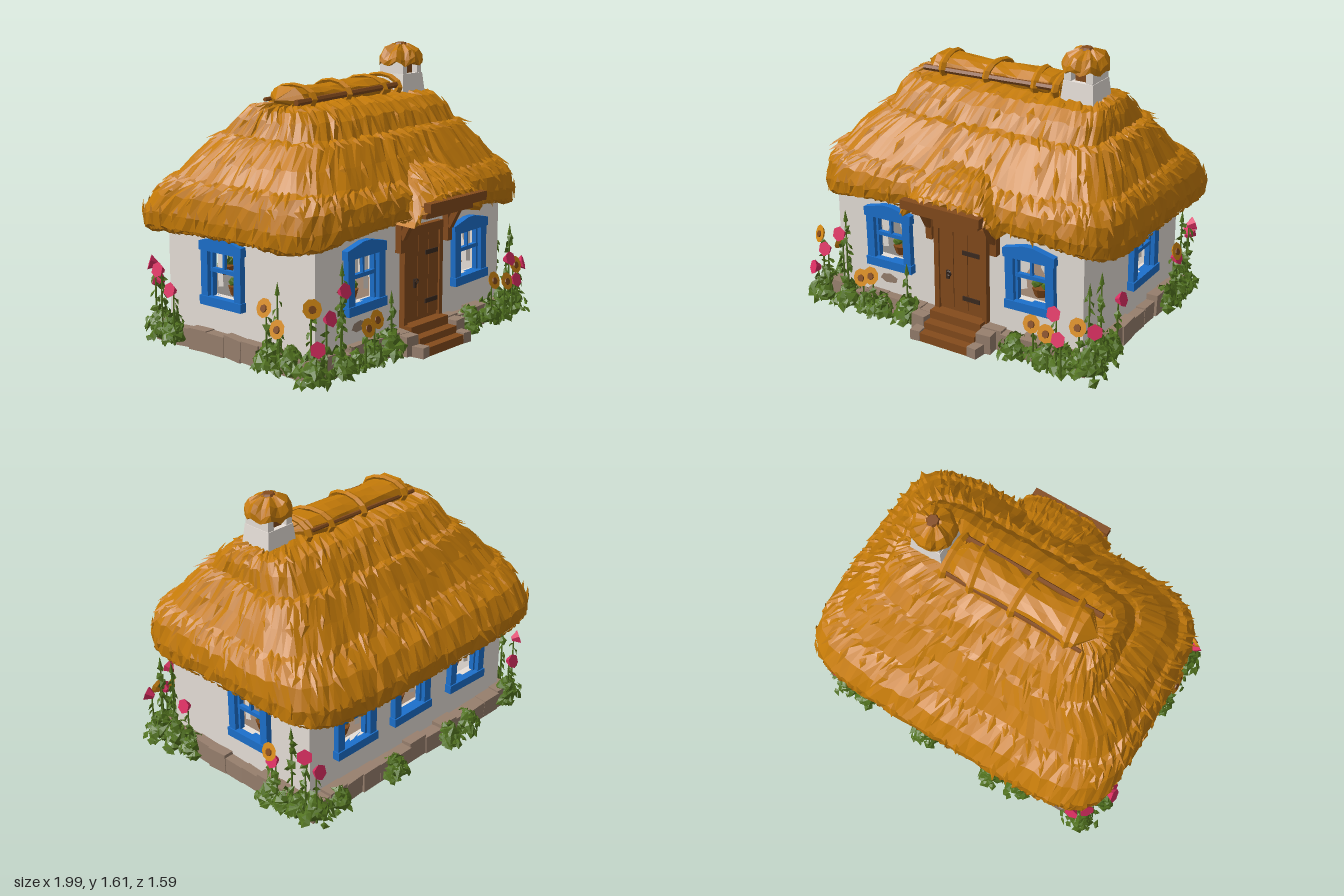
import * as THREE from 'three';
import { mergeGeometries } from 'three/addons/utils/BufferGeometryUtils.js';

const mat = (name, color, extra = {}) => {
  const m = new THREE.MeshStandardMaterial({ color, flatShading: true, ...extra });
  m.name = name;
  return m;
};
let seed = 7;
const rnd = (a = 0, b = 1) => {
  seed = (seed * 16807) % 2147483647;
  return a + (b - a) * (seed / 2147483647);
};
const V = (x, y, z) => new THREE.Vector3(x, y, z);

export function createModel() {
  seed = 7;
  const two = { side: THREE.DoubleSide };
  const thatch = mat('thatch', 0xc47a08, two), plaster = mat('plaster', 0xe8e1da, two);
  const blue = mat('bluePaint', 0x1c70cc), wood = mat('wood', 0x844b1c), dark = mat('darkIron', 0x3b2a20);
  const stone = mat('stone', 0x98806e);
  const green = mat('leaf', 0x52731f, two), pink = mat('pinkPetal', 0xdc2e62, two), yellow = mat('yellowPetal', 0xd68a14);

  const house = new THREE.Group();
  house.name = 'cottage';
  const add = (name, geo, m, parent = house) => {
    const mesh = new THREE.Mesh(geo, m);
    mesh.name = name;
    parent.add(mesh);
    return mesh;
  };
  const box = (name, m, w, h, d, x, y, z, parent = house) => {
    const b = add(name, new THREE.BoxGeometry(w, h, d), m, parent);
    b.position.set(x, y, z);
    return b;
  };
  const fromPoints = (pts, index) => {
    const g = new THREE.BufferGeometry();
    g.setAttribute('position', new THREE.Float32BufferAttribute(pts.flatMap(p => [p.x, p.y, p.z]), 3));
    g.setIndex(index);
    g.computeVertexNormals();
    return g;
  };
  // Surface from P(u, v) with straw-like jitter; wraps around u when closed
  const surface = (P, nu, nv, closed, jit) => {
    const pts = [], idx = [], cols = closed ? nu : nu + 1;
    for (let j = 0; j <= nv; j++) for (let i = 0; i < cols; i++)
      pts.push(P(i / nu, j / nv).add(V(rnd(-jit, jit), rnd(-jit, jit) * 1.3, rnd(-jit, jit))));
    for (let j = 0; j < nv; j++) for (let i = 0; i < nu; i++) {
      const a = j * cols + i, b = j * cols + (i + 1) % cols;
      idx.push(a, b, b + cols, a, b + cols, a + cols);
    }
    return fromPoints(pts, idx);
  };
  // Flat straw tufts pointing down the slope, in rows [v, count, length]
  const tufts = (P, rows) => {
    const pts = [], idx = [];
    for (const [v0, count, size] of rows) for (let k = 0; k < count; k++) {
      const u = (k + rnd(0.1, 0.9)) / count, v = v0 + rnd(-0.015, 0.015);
      const p = P(u, v), d = P(u, v - 0.01).sub(p).normalize(), t = P(u + 0.004, v).sub(p).normalize();
      const n = t.clone().cross(d).negate().normalize();
      const len = size * rnd(0.6, 1.3), w = rnd(0.015, 0.035), s = pts.length;
      const at = (a, b, c) => p.clone().addScaledVector(t, a).addScaledVector(d, b).addScaledVector(n, c);
      pts.push(at(-w, 0, 0), at(rnd(-w, w), len, 0.004), at(w, 0, 0), at(0, -len * 0.7, 0), at(0, 0, 0.012));
      for (let q = 0; q < 4; q++) idx.push(s + q, s + (q + 1) % 4, s + 4);
    }
    return fromPoints(pts, idx);
  };

  // Thatched roof: stacked rounded rectangles [y, left, right, front, back]
  const rings = [
    [0.70, -0.78, 0.80, 0.52, -0.55], [0.635, -0.92, 0.95, 0.61, -0.74], [0.665, -0.95, 0.98, 0.65, -0.775],
    [0.75, -0.955, 0.985, 0.655, -0.775], [0.86, -0.935, 0.965, 0.635, -0.70], [0.94, -0.905, 0.92, 0.59, -0.60],
    [0.965, -0.87, 0.89, 0.56, -0.565], [1.06, -0.80, 0.83, 0.48, -0.485], [1.17, -0.68, 0.76, 0.385, -0.40],
    [1.185, -0.65, 0.72, 0.345, -0.365], [1.27, -0.61, 0.70, 0.285, -0.29], [1.325, -0.58, 0.67, 0.21, -0.23],
    [1.345, -0.54, 0.62, 0.12, -0.14], [1.355, -0.42, 0.50, 0.01, -0.01]];
  const last = rings.length - 1;
  const roofP = (u, v) => {
    const f = THREE.MathUtils.clamp(v * last, 0, last - 1e-6), r = Math.floor(f);
    const [y, xl, xr, zf, zb] = rings[r].map((a, k) => a + (rings[r + 1][k] - a) * (f - r));
    u = ((u % 1) + 1) % 1;
    let px, pz;
    if (u < 0.29) { px = u / 0.145 - 1; pz = 1; }
    else if (u < 0.5) { px = 1; pz = 1 - (u - 0.29) / 0.105; }
    else if (u < 0.79) { px = 1 - (u - 0.5) / 0.145; pz = -1; }
    else { px = -1; pz = (u - 0.79) / 0.105 - 1; }
    const s = (px ** 6 + pz ** 6) ** (-1 / 6);
    px *= s; pz *= s;
    const low = Math.max(0, (0.95 - y) / 0.3);
    const lift = (0.11 * Math.max(pz, 0) * (1 - px ** 4) + 0.04 * px * px * (1 - pz * pz)) * low;
    const taper = Math.max(pz, 0) * Math.max(-px, 0) * 0.03;
    return V((xl + xr) / 2 + px * (xr - xl) / 2 + taper, y + lift, (zf + zb) / 2 + pz * (zf - zb) / 2);
  };
  add('thatchedRoof', surface(roofP, 130, last, true, 0.008), thatch);
  add('roofStraw', tufts(roofP, [[1.7 / last, 150, 0.03], [3 / last, 70, 0.07], [4.3 / last, 40, 0.08], [5.4 / last, 90, 0.08],
    [7 / last, 30, 0.08], [8.4 / last, 60, 0.08], [10 / last, 16, 0.07], [11.2 / last, 22, 0.05]]), thatch);

  // Thatch hood over the door
  const hood = [[0.855, 0.5, 0.28], [0.86, 0.73, 0.3], [0.885, 0.745, 0.3], [0.94, 0.68, 0.29], [0.99, 0.6, 0.27], [1.04, 0.48, 0.22]];
  const hoodP = (u, v) => {
    const f = THREE.MathUtils.clamp(v * 5, 0, 4.9999), r = Math.floor(f);
    const [y, z, w] = hood[r].map((a, k) => a + (hood[r + 1][k] - a) * (f - r));
    const s = u * 2 - 1;
    return V(0.08 + s * w, y - 0.13 * s ** 4, z - 0.03 * s ** 4);
  };
  add('doorHood', surface(hoodP, 24, 5, false, 0.008), thatch);
  add('hoodStraw', tufts(hoodP, [[0.42, 16, 0.03], [0.62, 10, 0.07], [0.84, 9, 0.07]]), thatch);

  // Uneven ridge roll with poles and bindings
  const rollP = (u, v) => {
    const a = -u * Math.PI * 2, r = v === 0 || v === 1 ? 0.01 : 0.95 + 0.1 * Math.sin(v * 9 + 1);
    return V(-0.52 + v * 0.93, 1.375 + Math.sin(a) * 0.063 * r, -0.01 + Math.cos(a) * 0.12 * r);
  };
  add('ridgeRoll', surface(rollP, 12, 10, true, 0.006), thatch);
  for (const [z, r] of [[0.106, 0.018], [-0.124, 0.012]]) {
    const pole = add('ridgePole', new THREE.CylinderGeometry(r, r, 0.86, 6), wood);
    pole.rotation.z = Math.PI / 2 + 0.03;
    pole.position.set(-0.05, 1.378, z);
  }
  for (const x of [-0.37, -0.06, 0.22, 0.37]) {
    const band = add('ridgeBinding', new THREE.TorusGeometry(0.115, 0.022, 5, 12), thatch);
    band.rotation.y = Math.PI / 2 + rnd(-0.2, 0.2);
    band.scale.set(1.12, 0.6, 1);
    band.position.set(x, 1.375, -0.01);
  }

  // Chimney with open throat and straw cap
  const chimney = new THREE.Group();
  chimney.name = 'chimney';
  chimney.position.set(0.508, 0, 0.02);
  house.add(chimney);
  const shaft = add('chimneyShaft', new THREE.CylinderGeometry(0.126, 0.148, 0.15, 4), plaster, chimney);
  shaft.rotation.y = Math.PI / 4;
  shaft.position.y = 1.37;
  for (const s of [-1, 1]) box('chimneyPier', plaster, 0.04, 0.08, 0.17, s * 0.066, 1.475, 0, chimney);
  box('chimneyThroat', wood, 0.065, 0.08, 0.12, 0, 1.48, 0, chimney);
  const capP = (u, v) => {
    const [r, y] = [[0.02, 1.5], [0.125, 1.5], [0.124, 1.53], [0.1, 1.575], [0.045, 1.607], [0.002, 1.615]][Math.round(v * 5)];
    const a = -u * Math.PI * 2, lobe = 1 + 0.05 * Math.cos(a * 7);
    return V(Math.cos(a) * r * lobe, y + 0.12 * r * Math.cos(a * 7), Math.sin(a) * r * lobe);
  };
  add('chimneyCap', surface(capP, 28, 5, true, 0.004), thatch, chimney);
  add('capKnob', new THREE.CylinderGeometry(0.03, 0.04, 0.012, 7), wood, chimney).position.y = 1.613;

  // Walls with window holes; openings are [centre along wall, centre y, tilt]
  const wall = (name, length, openings, x, z, turn) => {
    const g = new THREE.Group();
    g.name = name;
    g.position.set(x, 0, z);
    g.rotation.y = turn;
    house.add(g);
    const s = new THREE.Shape([[-1, 0.08], [1, 0.08], [1, 0.8], [-1, 0.8]].map(([a, y]) => new THREE.Vector2(a * length / 2, y)));
    for (const [a, y, tilt] of openings) {
      s.holes.push(new THREE.Path([[-1, -1], [-1, 1], [1, 1], [1, -1]].map(([i, j]) => new THREE.Vector2(a + i * 0.105, y + j * 0.135))));
      addWindow(g, a, y, tilt);
    }
    add('plasterWall', new THREE.ExtrudeGeometry(s, { depth: 0.04, bevelEnabled: false }), plaster, g).position.z = -0.04;
  };
  const addWindow = (parent, x, y, tilt = 0) => {
    const w = new THREE.Group();
    w.name = 'window';
    w.position.set(x, y, 0);
    w.rotation.z = tilt;
    parent.add(w);
    for (const s of [-1, 1]) {
      box('windowJamb', blue, 0.05, 0.32, 0.05, s * 0.124, -0.01, 0.01, w);
      box('sashSide', blue, 0.017, 0.27, 0.03, s * 0.093, 0, -0.005, w);
      const cloth = new THREE.Shape([[0, 0.12], [0.08, 0.12], [0.07, 0.05], [0.035, 0], [0.04, -0.09], [0, -0.1]].map(([a, b]) => new THREE.Vector2(s * (0.1 - a), b)));
      add('curtain', new THREE.ShapeGeometry(cloth), plaster, w).position.z = -0.045;
    }
    box('windowSill', blue, 0.31, 0.05, 0.065, 0, -0.16, 0.01, w);
    const peak = new THREE.Shape([[-0.158, 0.115], [0.158, 0.115], [0.158, 0.165], [0.03, 0.197], [-0.03, 0.197], [-0.158, 0.165]].map(p => new THREE.Vector2(...p)));
    add('windowLintel', new THREE.ExtrudeGeometry(peak, { depth: 0.05, bevelEnabled: false }), blue, w).position.z = -0.01;
    box('crossBar', blue, 0.2, 0.022, 0.025, 0, 0.01, 0, w);
    box('uprightBar', blue, 0.014, 0.13, 0.02, 0, 0.07, 0, w);
    add('flowerPot', new THREE.CylinderGeometry(0.05, 0.035, 0.05, 7), wood, w).position.set(0, -0.11, -0.09);
    for (const s of [-1, 0, 1]) {
      const herb = add('pottedHerb', new THREE.IcosahedronGeometry(0.028, 0), green, w);
      herb.position.set(s * 0.03, -0.07 + 0.02 * (1 - s * s), -0.09);
    }
  };
  wall('frontWall', 1.6, [[-0.432, 0.49, 0.02], [0.488, 0.47, 0.03]], 0, 0.525, 0);
  wall('backWall', 1.6, [[-0.47, 0.475], [-0.02, 0.475], [0.46, 0.475, -0.03]], 0, -0.555, Math.PI);
  wall('leftWall', 1.08, [[0.103, 0.465, 0.01]], 0.8, -0.015, Math.PI / 2);
  wall('rightWall', 1.08, [[-0.105, 0.465]], -0.8, -0.015, -Math.PI / 2);
  box('ceiling', plaster, 1.54, 0.02, 1.02, 0, 0.77, -0.015);
  box('backEaveBeam', wood, 0.6, 0.04, 0.05, 0.0, 0.675, -0.61);

  // Bare patch where plaster has worn off
  const patch = new THREE.Shape([[-0.06, -0.01], [-0.02, -0.03], [0.05, -0.02], [0.06, 0.01], [0.01, 0.03], [-0.04, 0.02]].map(p => new THREE.Vector2(...p)));
  add('wornPatch', new THREE.ShapeGeometry(patch), stone).position.set(-0.46, 0.225, 0.528);

  // Stone footing: floor slab and rows of uneven stones
  box('floorSlab', stone, 1.68, 0.07, 1.18, 0, 0.053, -0.015);
  const stoneRow = (x0, z0, x1, z1, n) => {
    for (let i = 0; i < n; i++) {
      const t = (i + 0.5) / n, x = x0 + (x1 - x0) * t, z = z0 + (z1 - z0) * t, len = Math.hypot(x1 - x0, z1 - z0) / n;
      const h = rnd(0.1, 0.125), s = box('footingStone', stone, len * 1.02, h, rnd(0.07, 0.1), x, 0.02 + h / 2, z);
      s.rotation.set(rnd(-0.1, 0.1), Math.atan2(z0 - z1, x1 - x0) + rnd(-0.08, 0.08), 0);
    }
  };
  for (const z of [0.55, -0.585]) stoneRow(-0.85, z, 0.85, z, 13);
  for (const x of [-0.82, 0.82]) stoneRow(x, -0.6, x, 0.57, 9);

  // Door, frame and ironwork
  box('doorFrame', wood, 0.33, 0.56, 0.04, 0.045, 0.41, 0.52);
  for (const [w, h, x, y] of [[0.03, 0.54, -0.105, 0.41], [0.03, 0.54, 0.205, 0.41], [0.35, 0.05, 0.045, 0.665]]) box('doorTrim', wood, w, h, 0.05, x, y, 0.535);
  for (let i = 0; i < 3; i++) box('doorPlank', wood, 0.088, 0.46, 0.02, -0.042 + i * 0.092, 0.41, 0.543);
  for (const y of [0.53, 0.255]) box('hinge', dark, 0.11, 0.025, 0.008, 0.12, y, 0.556);
  box('latch', dark, 0.018, 0.05, 0.012, -0.03, 0.375, 0.558);
  add('doorRing', new THREE.TorusGeometry(0.013, 0.005, 4, 8), dark).position.set(-0.02, 0.385, 0.565);

  // Porch canopy with brackets
  box('canopyBoard', wood, 0.48, 0.03, 0.22, 0.07, 0.835, 0.645).rotation.x = 0.1;
  box('canopyBeam', wood, 0.42, 0.06, 0.04, 0.065, 0.8, 0.7);
  box('canopyEdge', wood, 0.5, 0.05, 0.045, 0.07, 0.84, 0.755);
  for (const x of [-0.145, 0.27]) {
    box('bracketPost', wood, 0.04, 0.25, 0.04, x, 0.69, 0.55);
    box('bracketArm', wood, 0.035, 0.03, 0.16, x, 0.8, 0.62);
    box('bracketBrace', wood, 0.035, 0.17, 0.035, x, 0.72, 0.605).rotation.x = 0.5;
  }

  // Steps with stone sides
  [[0.05, 0.725], [0.09, 0.67], [0.14, 0.61]].forEach(([h, z]) => box('step', wood, 0.33, h, z - 0.5, 0.045, 0.015 + h / 2, (z + 0.5) / 2));
  for (const s of [-1, 1]) {
    box('stepStone', stone, 0.09, 0.11, 0.12, 0.045 + s * 0.21, 0.075, 0.6).rotation.y = s * 0.1;
    box('stepStone', stone, 0.06, 0.06, 0.1, 0.045 + s * 0.19, 0.045, 0.68).rotation.y = -s * 0.1;
  }

  // Leaf: slightly folded diamond facing along n, pointing a random way across it
  const leaf = (p, n, len) => {
    n = n.clone().normalize();
    const d = V(rnd(-1, 1), rnd(-0.6, 1), rnd(-1, 1)).cross(n).normalize(), side = n.clone().cross(d);
    const at = (a, b, c) => p.clone().addScaledVector(side, a * len).addScaledVector(d, b * len).addScaledVector(n, c * len);
    return fromPoints([at(0, -0.5, 0), at(0.36, -0.1, -0.1), at(0, -0.1, 0.1), at(-0.36, -0.1, -0.1), at(0, 0.5, -0.1)],
      [0, 1, 2, 1, 4, 2, 0, 2, 3, 2, 4, 3]);
  };
  const bush = (x, z, r, h) => {
    const leaves = [];
    for (let i = 0; i < 60; i++) {
      const a = rnd(0, 6.283), e = rnd(0, 1.4), q = Math.cos(e) * r * rnd(0.6, 1.05), y = 0.045 + Math.sin(e) * h * rnd(0.5, 0.95);
      leaves.push(leaf(V(x + Math.cos(a) * q, y, z + Math.sin(a) * q), V(Math.cos(a), rnd(0, 1.3), Math.sin(a)), rnd(0.05, 0.095)));
    }
    add('bush', mergeGeometries(leaves), green);
    add('bushCore', new THREE.IcosahedronGeometry(1, 0).scale(r * 0.6, h * 0.4, r * 0.6).translate(x, 0.02 + h * 0.4, z), green);
  };
  [[-0.87, 0.58, 0.11, 0.17], [-0.7, 0.6, 0.1, 0.13], [-0.57, 0.6, 0.07, 0.09], [-0.45, 0.6, 0.1, 0.11], [-0.28, 0.59, 0.1, 0.15],
    [0.43, 0.6, 0.1, 0.13], [0.6, 0.6, 0.1, 0.12], [0.73, 0.6, 0.09, 0.15], [0.86, 0.58, 0.12, 0.17],
    [0.86, 0.45, 0.1, 0.17], [0.86, 0.32, 0.07, 0.13], [0.86, -0.33, 0.09, 0.13], [0.87, -0.44, 0.08, 0.11], [0.86, -0.53, 0.1, 0.15], [0.82, -0.61, 0.11, 0.16],
    [0.66, -0.63, 0.08, 0.12], [0.23, -0.64, 0.09, 0.12], [-0.24, -0.64, 0.09, 0.13], [-0.41, -0.63, 0.09, 0.12], [-0.82, -0.61, 0.11, 0.16],
    [-0.87, 0.42, 0.09, 0.16], [-0.87, 0.27, 0.09, 0.15], [-0.87, -0.45, 0.09, 0.16]].forEach(b => bush(...b));

  // Tall plants: leafy stem with a sunflower, hollyhock or bud on top
  const flower = (kind, x, y, z) => {
    const g = new THREE.Group();
    g.name = kind;
    g.position.set(x, y, z);
    house.add(g);
    const stem = add('stem', new THREE.CylinderGeometry(0.004, 0.007, y - 0.03, 5), green, g);
    stem.position.y = -(y - 0.03) / 2;
    const leaves = [];
    for (let h = 0.16; h < y - 0.05; h += 0.04) {
      const a = rnd(0, 6.283);
      leaves.push(leaf(V(Math.cos(a) * 0.02, h - y, Math.sin(a) * 0.02), V(Math.cos(a), 0.5, Math.sin(a)), rnd(0.045, 0.07)));
    }
    if (leaves.length) add('stemLeaves', mergeGeometries(leaves), green, g);
    if (kind === 'bud') { add('budTip', new THREE.ConeGeometry(0.014, 0.07, 5), green, g); return; }
    const head = new THREE.Group();
    head.name = 'flowerHead';
    head.rotation.y = Math.abs(x) > 0.84 ? Math.sign(x) * (z > 0.5 ? 0.5 : z < -0.5 ? 2.3 : 1.57) : z > 0 ? 0 : Math.PI;
    g.add(head);
    const disc = (name, r0, r1, d, m, n, zz) => {
      const c = add(name, new THREE.CylinderGeometry(r1, r0, d, n), m, head);
      c.rotation.x = Math.PI / 2 - 0.3;
      c.position.z = zz;
    };
    if (kind === 'sunflower') {
      disc('petals', 0.035, 0.052, 0.016, yellow, 9, 0.01);
      disc('seedDisc', 0.022, 0.02, 0.01, wood, 8, 0.02);
    } else disc('petals', 0.015, 0.044, 0.045, pink, 6, 0.01);
  };
  [[-0.89, 0.42, 0.58], [-0.55, 0.26, 0.65], [-0.48, 0.29, 0.65], [0.57, 0.29, 0.65], [0.67, 0.27, 0.67], [0.83, 0.33, 0.62],
    [0.89, 0.38, -0.36], [-0.92, 0.38, 0.3], [-0.91, 0.28, 0.38]].forEach(p => flower('sunflower', ...p));
  [[-0.71, 0.48, 0.62], [-0.82, 0.36, 0.62], [-0.9, 0.22, 0.62], [0.71, 0.39, 0.65], [0.75, 0.26, 0.67], [0.91, 0.32, 0.6], [0.89, 0.37, 0.31],
    [0.88, 0.33, -0.38], [0.87, 0.45, -0.59], [0.84, 0.36, -0.64], [-0.85, 0.45, -0.62], [-0.79, 0.33, -0.64],
    [-0.93, 0.45, -0.48], [-0.9, 0.34, -0.42]].forEach(p => flower('hollyhock', ...p));
  [[0.87, 0.55, 0.46], [0.87, 0.54, -0.49], [-0.69, 0.59, 0.61], [-0.28, 0.36, 0.6], [0.86, 0.53, 0.57], [-0.88, 0.48, 0.34]].forEach(p => flower('bud', ...p));

  return house;
}
